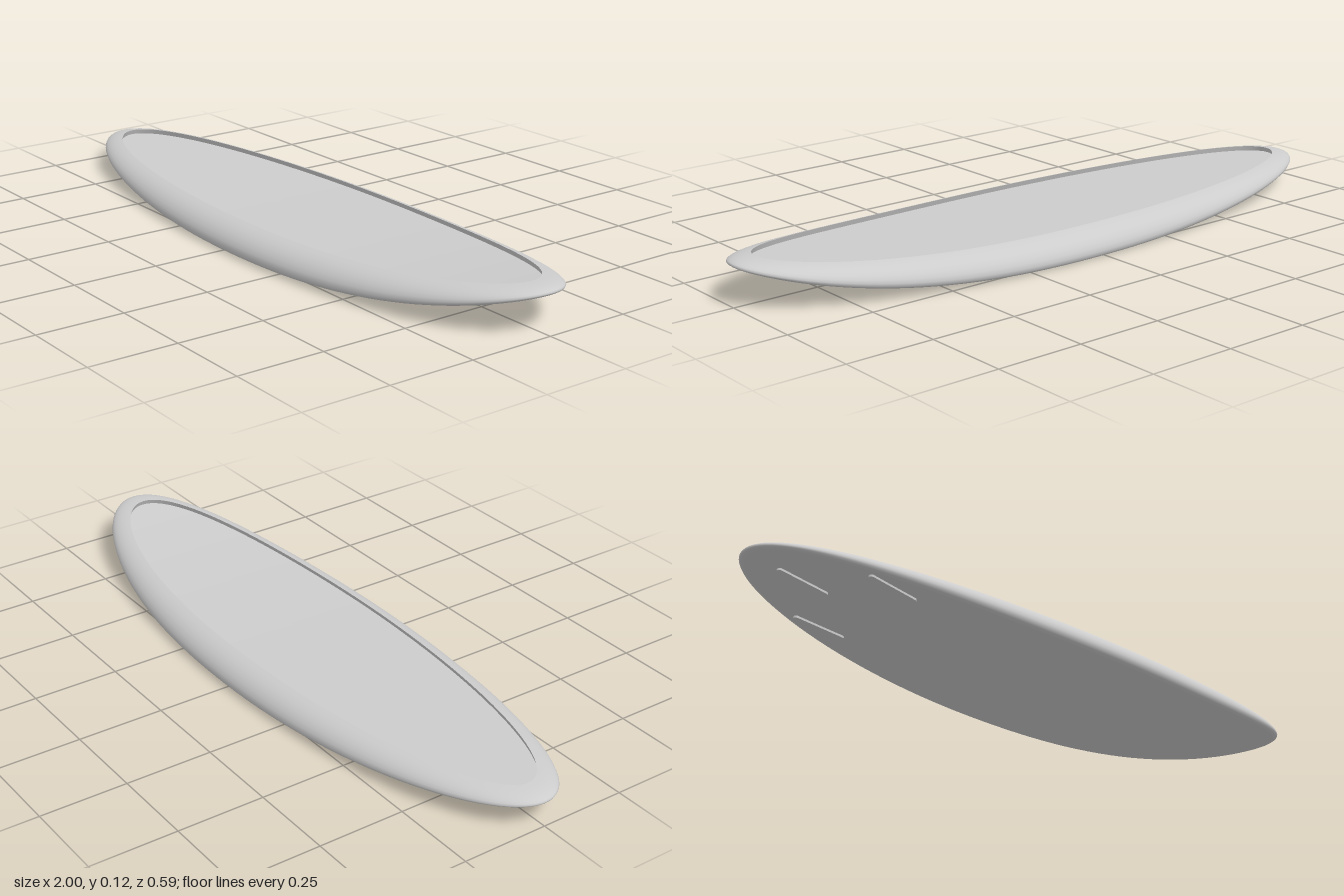
import * as THREE from 'three';

const SEGMENTS = 128;
const HALF_WIDTH = 0.293;
const RECESS = 0.015;

// Rocker curve of the underside and thickness along the board
const bottomY = x => (x > 0 ? 0.105 * Math.pow(x, 2.8) : 0.065 * x * x);
const thickness = x => 0.028 + 0.052 * (1 - Math.pow(Math.abs(x), x > 0 ? 3 : 2));

// One ring: inset from the outline, height as a share of thickness, drop, and squeeze toward the spine
const ring = (inset, height, drop = 0, squeeze = 1) => ({ inset, height, drop, squeeze });

// Skin a list of rings that run from the underside, out round the rail and back in over the deck
function skin(rings) {
  const positions = [], index = [];
  rings.forEach((r, j) => {
    for (let i = 0; i < SEGMENTS; i++) {
      const t = (i / SEGMENTS) * Math.PI * 2;
      const x = (1 - r.inset) * Math.cos(t) + 0.05 * Math.sin(t) ** 2;
      const z = (HALF_WIDTH - r.inset) * Math.sin(t) * r.squeeze;
      positions.push(x, bottomY(x) + thickness(x) * r.height - r.drop, z);
      if (j === rings.length - 1) continue;
      const a = j * SEGMENTS + i, next = j * SEGMENTS + (i + 1) % SEGMENTS;
      const b = a + SEGMENTS, bNext = next + SEGMENTS;
      index.push(a, b, next, next, b, bNext);
    }
  });
  const geometry = new THREE.BufferGeometry();
  geometry.setAttribute('position', new THREE.Float32BufferAttribute(positions, 3));
  geometry.setIndex(index);
  geometry.computeVertexNormals();
  return geometry;
}

// Long plate with rounded ends, lying flat
function finPlugGeometry(length, width, depth) {
  const r = width / 2, s = length / 2 - r;
  const shape = new THREE.Shape();
  shape.moveTo(-s, -r);
  shape.lineTo(s, -r);
  shape.absarc(s, 0, r, -Math.PI / 2, Math.PI / 2);
  shape.lineTo(-s, r);
  shape.absarc(-s, 0, r, Math.PI / 2, Math.PI * 1.5);
  const geometry = new THREE.ExtrudeGeometry(shape, { depth, bevelEnabled: false, curveSegments: 8 });
  return geometry.translate(0, 0, -depth / 2).rotateX(-Math.PI / 2);
}

export function createModel() {
  const board = new THREE.Group();
  board.name = 'surfboard';
  const grey = new THREE.MeshStandardMaterial({ color: 0xcccccc, side: THREE.DoubleSide });
  grey.name = 'light grey';

  const add = (name, geometry) => {
    const mesh = new THREE.Mesh(geometry, grey);
    mesh.name = name;
    board.add(mesh);
    return mesh;
  };

  // Underside
  add('bottom', skin([0, 0.35, 0.7, 1].map(k => ring(0.016, 0, 0, k))));

  // Rounded rail, from the tucked lower edge to the lip
  add('rail', skin([
    ring(0.016, 0), ring(0.007, 0.05), ring(0.002, 0.13), ring(0, 0.25),
    ring(0.003, 0.4), ring(0.01, 0.56), ring(0.021, 0.71), ring(0.035, 0.84),
    ring(0.052, 0.94), ring(0.068, 1),
  ]));

  // Slightly undercut step down to the deck
  add('deckStep', skin([ring(0.068, 1), ring(0.062, 1, RECESS)]));

  // Recessed deck
  add('deck', skin([1, 0.7, 0.35, 0].map(k => ring(0.062, 1, RECESS, k))));

  // Three fin plugs under the tail, the outer pair toed in
  const plug = finPlugGeometry(0.16, 0.018, 0.012);
  [['centreFinPlug', -0.82, 0], ['leftFinPlug', -0.65, 0.155], ['rightFinPlug', -0.65, -0.155]]
    .forEach(([name, x, z]) => {
      const mesh = add(name, plug);
      mesh.position.set(x, bottomY(x), z);
      mesh.rotation.set(0, Math.sign(z) * 0.05, Math.atan(0.13 * x));
    });

  return board;
}
